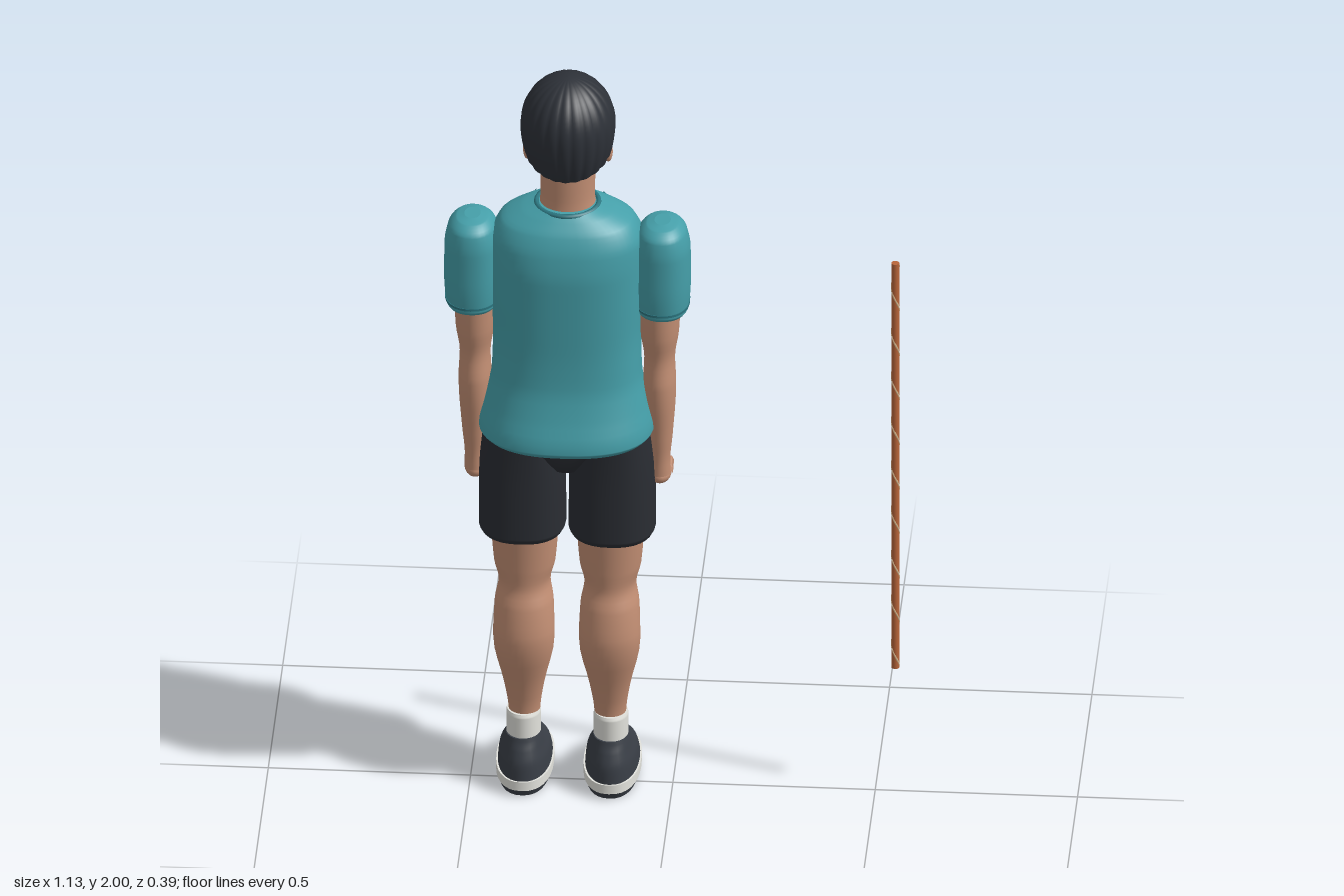
import * as THREE from 'three';

const mat = (name, color, side = THREE.FrontSide) => {
  const m = new THREE.MeshStandardMaterial({ color, side });
  m.name = name;
  return m;
};

// Smooth monotone interpolation of one column of a ring table over y
function sample(rings, col, i, t) {
  const slope = k => (rings[k + 1][col] - rings[k][col]) / (rings[k + 1][0] - rings[k][0]);
  const tangent = k => {
    if (k === 0) return slope(0);
    if (k === rings.length - 1) return slope(k - 1);
    const a = slope(k - 1), b = slope(k);
    return a * b > 0 ? 2 * a * b / (a + b) : 0;
  };
  const h = rings[i + 1][0] - rings[i][0], t2 = t * t, t3 = t2 * t;
  return (2 * t3 - 3 * t2 + 1) * rings[i][col] + (t3 - 2 * t2 + t) * h * tangent(i)
    + (3 * t2 - 2 * t3) * rings[i + 1][col] + (t3 - t2) * h * tangent(i + 1);
}

// Builds an indexed surface from closed rows of points, bottom to top
function skin(rows) {
  const n = rows[0].length, index = [];
  for (let i = 0; i < rows.length - 1; i++) {
    for (let j = 0; j < n; j++) {
      const a = i * n + j, b = i * n + (j + 1) % n;
      index.push(a, a + n, b, b, a + n, b + n);
    }
  }
  const g = new THREE.BufferGeometry();
  g.setAttribute('position', new THREE.Float32BufferAttribute(rows.flat(2), 3));
  g.setIndex(index);
  g.computeVertexNormals();
  return g;
}

// Capped loft; each ring is [y, zBack, zFront, halfWidth], n is the superellipse power
function loft(rings, n = 2, seg = 32, sub = 4) {
  const power = v => Math.sign(v) * Math.pow(Math.abs(v), 2 / n);
  const row = (y, z0, z1, rx, s = 1) => Array.from({ length: seg }, (_, j) => {
    const a = j / seg * Math.PI * 2;
    return [s * rx * power(Math.cos(a)), y, (z0 + z1) / 2 + s * (z1 - z0) / 2 * power(Math.sin(a))];
  });
  const rows = [];
  for (let i = 0; i < rings.length - 1; i++) {
    for (let k = 0; k < sub; k++) {
      const t = k / sub;
      rows.push(row(THREE.MathUtils.lerp(rings[i][0], rings[i + 1][0], t),
        sample(rings, 1, i, t), sample(rings, 2, i, t), sample(rings, 3, i, t)));
    }
  }
  const first = rings[0], last = rings[rings.length - 1];
  rows.push(row(...last));
  return skin([row(...first, 0), row(...first), ...rows, row(...last), row(...last, 0)]);
}

// Ribbed knitted cap with a rim that dips at the back
function capGeometry() {
  const seg = 132, steps = 24, rows = [];
  for (let i = steps; i >= 0; i--) {
    const a = i / steps, row = [];
    for (let j = 0; j < seg; j++) {
      const th = j / seg * Math.PI * 2, rim = 1.797 + 0.043 * Math.sin(th);
      let y, r;
      if (a < 0.6) {
        const p = a / 0.6 * Math.PI / 2;
        y = 1.87 + 0.13 * Math.cos(p);
        r = Math.sin(p);
      } else {
        const t = (a - 0.6) / 0.4;
        y = THREE.MathUtils.lerp(1.87, rim, t);
        r = 1 - 0.2 * ((1.87 - y) / 0.115) ** 2;
      }
      r *= 0.975 + 0.03 * Math.abs(Math.sin(th * 11));
      row.push([0.117 * r * Math.cos(th), y, 0.012 + 0.127 * r * Math.sin(th)]);
    }
    rows.push(row);
  }
  return skin(rows);
}

export function createModel() {
  const M = {
    skin: mat('skin', 0xc38f74),
    lip: mat('lip', 0x9c6355),
    cap: mat('cap charcoal', 0x2d3138, THREE.DoubleSide),
    shirt: mat('shirt teal', 0x459fa9),
    seam: mat('seam dark teal', 0x2c7680),
    shorts: mat('shorts black', 0x2a2d33),
    shoe: mat('shoe slate', 0x3a3f47),
    white: mat('white', 0xe2e2dc),
    pole: mat('pole orange', 0xb9653a),
    stripe: mat('pole stripe', 0xd6b58c),
  };
  const model = new THREE.Group();
  model.name = 'figureWithPole';
  const figure = new THREE.Group();
  figure.name = 'figure';
  figure.position.x = -0.26;
  figure.rotation.y = Math.PI;
  model.add(figure);

  const add = (name, geo, material, x = 0, y = 0, z = 0, parent = figure) => {
    const m = new THREE.Mesh(geo, material);
    m.name = name;
    m.position.set(x, y, z);
    parent.add(m);
    return m;
  };
  const ball = (name, material, x, y, z, sx, sy, sz) =>
    add(name, new THREE.SphereGeometry(1, 20, 14), material, x, y, z).scale.set(sx, sy, sz);
  const tube = (name, material, pts, r) => add(name, new THREE.TubeGeometry(
    new THREE.CatmullRomCurve3(pts.map(p => new THREE.Vector3(...p))), 16, r, 6), material);

  // Head and neck
  add('head', loft([[1.692, 0.03, 0.1, 0.035], [1.705, 0.0, 0.117, 0.055], [1.75, -0.05, 0.128, 0.083],
    [1.8, -0.085, 0.125, 0.097], [1.86, -0.095, 0.125, 0.103], [1.92, -0.07, 0.09, 0.08]]), M.skin);
  add('neck', loft([[1.62, -0.065, 0.07, 0.075], [1.68, -0.06, 0.066, 0.067], [1.77, -0.06, 0.07, 0.07]]), M.skin);
  add('knitCap', capGeometry(), M.cap);
  const nose = add('nose', new THREE.ConeGeometry(0.02, 0.06, 12), M.skin, 0, 1.803, 0.138);
  nose.rotation.x = Math.PI / 2;
  nose.scale.x = 0.8;
  ball('upperLip', M.lip, 0, 1.75, 0.127, 0.026, 0.005, 0.005);
  ball('lowerLip', M.lip, 0, 1.742, 0.126, 0.021, 0.006, 0.006);

  // Shirt body, collar and hem
  add('shirtBody', loft([[1.025, -0.19, 0.14, 0.205], [1.04, -0.2, 0.15, 0.217], [1.12, -0.175, 0.115, 0.2],
    [1.2, -0.155, 0.1, 0.185], [1.3, -0.15, 0.12, 0.183], [1.4, -0.15, 0.135, 0.187], [1.49, -0.15, 0.15, 0.19],
    [1.56, -0.14, 0.125, 0.188], [1.61, -0.12, 0.105, 0.168], [1.64, -0.095, 0.085, 0.12],
    [1.655, -0.08, 0.073, 0.08]], 2.4, 48), M.shirt);
  const collar = add('collar', new THREE.TorusGeometry(0.077, 0.007, 8, 40), M.seam, 0, 1.652, -0.003);
  collar.rotation.x = Math.PI / 2;

  // Shorts hips
  add('shortsHips', loft([[0.92, -0.08, 0.07, 0.045], [0.96, -0.115, 0.1, 0.07], [1.0, -0.125, 0.105, 0.13],
    [1.07, -0.125, 0.095, 0.18]], 2.4), M.shorts);

  for (const s of [-1, 1]) {
    const side = s > 0 ? 'left' : 'right';

    // Eyes, brows and ears
    ball(side + 'Eye', M.white, s * 0.037, 1.812, 0.116, 0.014, 0.006, 0.005);
    ball(side + 'Pupil', M.cap, s * 0.036, 1.812, 0.12, 0.005, 0.005, 0.003);
    tube(side + 'Brow', M.cap, [[s * 0.017, 1.826, 0.125], [s * 0.037, 1.832, 0.119], [s * 0.057, 1.828, 0.107]], 0.004);
    ball(side + 'Ear', M.skin, s * 0.1, 1.793, 0.008, 0.011, 0.028, 0.017);

    // Sleeves with seams
    add(side + 'Sleeve', loft([[1.36, -0.078, 0.072, 0.06], [1.37, -0.085, 0.078, 0.065], [1.45, -0.09, 0.08, 0.07],
      [1.53, -0.09, 0.08, 0.069], [1.58, -0.083, 0.073, 0.06], [1.603, -0.06, 0.052, 0.042],
      [1.61, -0.03, 0.025, 0.02]], 2.2), M.shirt, s * 0.235);
    add(side + 'SleeveHem', loft([[1.376, -0.088, 0.081, 0.0675], [1.382, -0.088, 0.081, 0.068]], 2.2), M.seam, s * 0.235);
    tube(side + 'ShoulderSeam', M.seam, [[s * 0.08, 1.636, 0.077], [s * 0.11, 1.58, 0.103], [s * 0.15, 1.52, 0.1]], 0.004);

    // Arms
    add(side + 'Arm', loft([[0.89, -0.033, 0.025, 0.027], [0.93, -0.035, 0.026, 0.026], [1.0, -0.045, 0.03, 0.032],
      [1.15, -0.065, 0.04, 0.041], [1.225, -0.058, 0.04, 0.038], [1.3, -0.07, 0.05, 0.048],
      [1.4, -0.075, 0.055, 0.053]]), M.skin, s * 0.228);

    // Hand with curled fingers and thumb
    ball(side + 'Palm', M.skin, s * 0.228, 0.882, 0.012, 0.028, 0.026, 0.042);
    for (let f = 0; f < 4; f++) {
      const x = s * (0.207 + f * 0.014);
      tube(side + 'Finger' + (f + 1), M.skin, [[x, 0.888, 0.025], [x, 0.892, 0.055], [x, 0.88, 0.068],
        [x, 0.868, 0.055], [x, 0.867, 0.03]], 0.0085);
    }
    tube(side + 'Thumb', M.skin, [[s * 0.205, 0.89, 0.01], [s * 0.196, 0.882, 0.035], [s * 0.202, 0.873, 0.058]], 0.009);

    // Legs of the shorts, bare legs and socks
    add(side + 'ShortsLeg', loft([[0.73, -0.113, 0.1, 0.102], [0.745, -0.12, 0.105, 0.108], [0.9, -0.12, 0.105, 0.107],
      [1.06, -0.125, 0.097, 0.093]], 2.3), M.shorts, s * 0.111);
    add(side + 'Leg', loft([[0.18, -0.05, 0.03, 0.038], [0.22, -0.052, 0.028, 0.04], [0.29, -0.066, 0.022, 0.05],
      [0.43, -0.1, 0.03, 0.076], [0.52, -0.088, 0.052, 0.073], [0.575, -0.072, 0.065, 0.064],
      [0.63, -0.076, 0.07, 0.076], [0.76, -0.087, 0.083, 0.086]]), M.skin, s * 0.106);
    add(side + 'Sock', loft([[0.12, -0.062, 0.04, 0.043], [0.2, -0.062, 0.038, 0.043], [0.21, -0.058, 0.034, 0.041]]),
      M.white, s * 0.108);

    // Shoes with two-layer soles and laces
    add(side + 'Outsole', loft([[0, -0.09, 0.18, 0.063], [0.018, -0.098, 0.19, 0.068]], 2.3), M.shoe, s * 0.108);
    add(side + 'Midsole', loft([[0.018, -0.1, 0.194, 0.071], [0.042, -0.099, 0.194, 0.071]], 2.3), M.white, s * 0.108);
    add(side + 'ShoeUpper', loft([[0.042, -0.095, 0.187, 0.067], [0.08, -0.092, 0.15, 0.063],
      [0.115, -0.08, 0.092, 0.053], [0.135, -0.07, 0.052, 0.047], [0.146, -0.066, 0.043, 0.044]], 2.2), M.shoe, s * 0.108);
    for (let k = 0; k < 4; k++) {
      const z = 0.066 + k * 0.021, y = 0.13 - k * 0.0125, x = s * 0.108;
      tube(side + 'Lace' + (k + 1), M.white, [[x - 0.022, y - 0.003, z - 0.006], [x, y, z], [x + 0.022, y - 0.003, z - 0.006]], 0.003);
    }
  }

  // Free-standing pole with a spiral stripe
  add('pole', new THREE.CylinderGeometry(0.01, 0.01, 1.155, 16), M.pole, 0.55, 0.9325, 0.004, model);
  const helix = Array.from({ length: 121 }, (_, i) => {
    const t = i / 120, a = t * Math.PI * 18;
    return new THREE.Vector3(0.0085 * Math.cos(a), (t - 0.5) * 1.145, 0.0085 * Math.sin(a));
  });
  add('poleStripe', new THREE.TubeGeometry(new THREE.CatmullRomCurve3(helix), 360, 0.0028, 6),
    M.stripe, 0.55, 0.9325, 0.004, model);
  return model;
}
